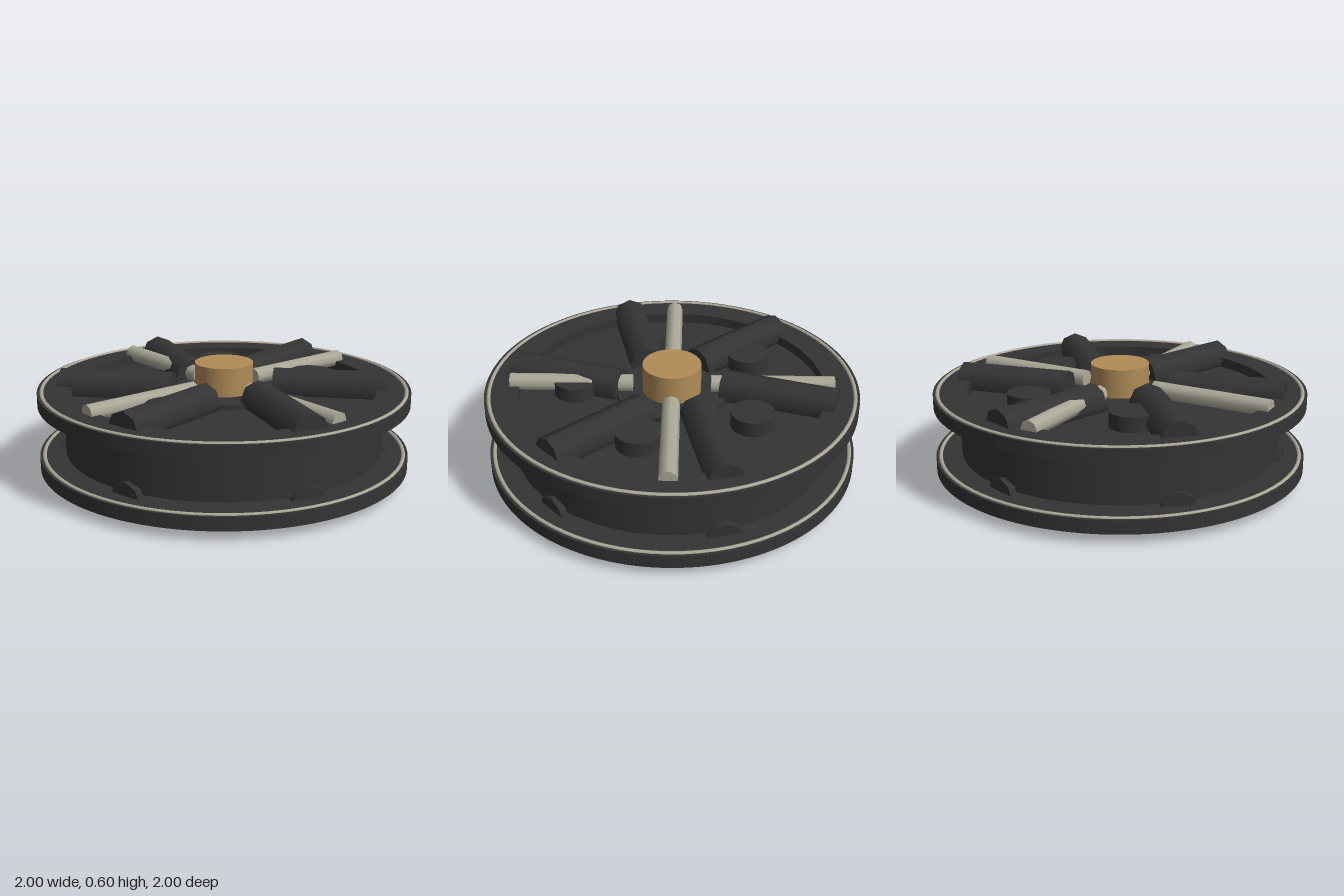
import * as THREE from 'three';

export function createModel() {
  const model = new THREE.Group();
  const dark = new THREE.MeshStandardMaterial({ color: 0x343434 });
  dark.name = 'dark metal';
  const pale = new THREE.MeshStandardMaterial({ color: 0xaba898 });
  pale.name = 'pale metal';
  const brass = new THREE.MeshStandardMaterial({ color: 0xb08d57 });
  brass.name = 'brass';

  const add = (name, geometry, material, x = 0, y = 0, z = 0) => {
    const mesh = new THREE.Mesh(geometry, material);
    mesh.name = name;
    mesh.position.set(x, y, z);
    model.add(mesh);
    return mesh;
  };

  // Upright cylinder between two heights
  const disc = (name, r, y0, y1, material, x = 0, z = 0, sides = 64) =>
    add(name, new THREE.CylinderGeometry(r, r, y1 - y0, sides), material, x, (y0 + y1) / 2, z);

  // Eight-sided bar lying flat, its long axis at a heading measured from +x towards -z
  const bar = (name, r, length, material, x, y, z, heading) => {
    const geometry = new THREE.CylinderGeometry(r, r, length, 8);
    geometry.rotateZ(-Math.PI / 2);
    add(name, geometry, material, x, y, z).rotation.y = heading;
  };

  // Drum, central boss and hub cap
  disc('drum', 0.86, 0.14, 0.42, dark);
  disc('boss', 0.3, 0.137, 0.445, dark, 0, 0, 32);
  disc('hubCap', 0.157, 0.42, 0.6, brass, 0, 0, 32);

  // Flange rings with a pale bead near the rim
  for (const [label, y0, y1] of [['lower', 0.055, 0.127], ['upper', 0.407, 0.475]]) {
    const shape = new THREE.Shape().absarc(0, 0, 1, 0, Math.PI * 2);
    shape.holes.push(new THREE.Path().absarc(0, 0, 0.82, 0, Math.PI * 2, true));
    const ring = new THREE.ExtrudeGeometry(shape, { depth: y1 - y0, bevelEnabled: false, curveSegments: 64 });
    ring.rotateX(-Math.PI / 2);
    add(label + 'Flange', ring, dark, 0, y0, 0);

    const bead = new THREE.TorusGeometry(0.976, 0.011, 8, 80);
    bead.rotateX(Math.PI / 2);
    add(label + 'Trim', bead, pale, 0, y1 - 0.002, 0);
  }

  // Six slightly skewed spokes on each face
  for (let i = 0; i < 6; i++) {
    const a = THREE.MathUtils.degToRad(51 + i * 60);
    const heading = a - THREE.MathUtils.degToRad(8.5);
    for (const [label, y] of [['lower', 0.1], ['upper', 0.457]]) {
      bar(label + 'Spoke', 0.098, 0.62, dark, 0.578 * Math.cos(a), y, -0.578 * Math.sin(a), heading);
    }
  }

  // Four pale rods across the upper face
  for (let i = 0; i < 4; i++) {
    const a = i * Math.PI / 2;
    bar('rod', 0.047, 0.66, pale, 0.54 * Math.cos(a), 0.481, -0.54 * Math.sin(a), a);
  }

  // Five round lugs on the upper face
  for (let i = 0; i < 5; i++) {
    const a = i * Math.PI * 2 / 5;
    disc('lug', 0.115, 0.41, 0.5, dark, 0.52 * Math.cos(a), -0.52 * Math.sin(a), 32);
  }

  return model;
}
